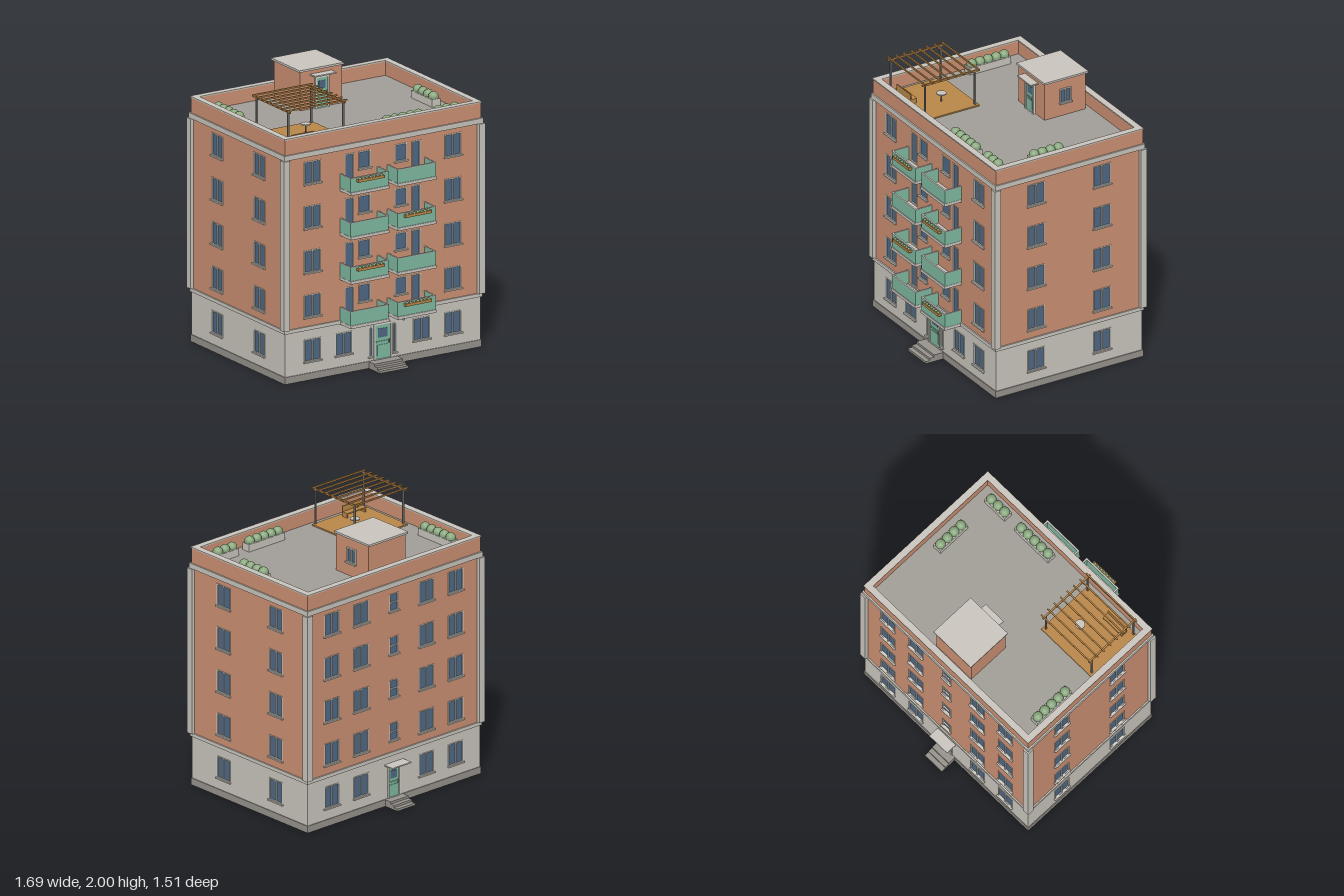
import * as THREE from 'three';

const mat = (name, color) => {
  const m = new THREE.MeshStandardMaterial({ color, side: THREE.DoubleSide });
  m.name = name;
  return m;
};

export function createModel() {
  const M = {
    brick: mat('terracotta wall', 0xcc9073), stone: mat('pale stone', 0xcac6be),
    plinth: mat('dark stone', 0x97938d), roof: mat('roof felt', 0xa19d97),
    green: mat('mint paint', 0x7fb9a1), glass: mat('window glass', 0x4f6985),
    wood: mat('warm wood', 0xb98748), bush: mat('leaf green', 0x8aa87f),
    frame: mat('window frame', 0xd6d3cb), metal: mat('grey metal', 0x85827d),
  };
  const model = new THREE.Group();
  model.name = 'apartmentBuilding';
  const group = (name, parent = model) => {
    const g = new THREE.Group();
    g.name = name;
    parent.add(g);
    return g;
  };
  const add = (parent, name, geo, m, x = 0, y = 0, z = 0) => {
    const mesh = new THREE.Mesh(geo, m);
    mesh.name = name;
    mesh.position.set(x, y, z);
    parent.add(mesh);
    return mesh;
  };
  // Box given by its limits on each axis
  const box = (parent, name, m, x0, x1, y0, y1, z0, z1) =>
    add(parent, name, new THREE.BoxGeometry(x1 - x0, y1 - y0, z1 - z0), m, (x0 + x1) / 2, (y0 + y1) / 2, (z0 + z1) / 2);
  const rect = (x0, x1, y0, y1, Type = THREE.Path) => {
    const p = new Type();
    p.moveTo(x0, y0); p.lineTo(x1, y0); p.lineTo(x1, y1); p.lineTo(x0, y1); p.closePath();
    return p;
  };
  const panel = (x0, x1, y0, y1, depth, holes) => {
    const s = rect(x0, x1, y0, y1, THREE.Shape);
    s.holes = holes;
    return new THREE.ExtrudeGeometry(s, { depth, bevelEnabled: false });
  };

  const HX = 0.82, HZ = 0.605, CZ = -0.02, PITCH = 0.328, FLOORS = [0, 1, 2, 3, 4];
  const top = f => 0.302 + PITCH * f; // head height of the windows on floor f

  // Horizontal band around the whole building, standing out from the walls
  const band = (name, m, y0, y1, out, inset) => {
    const a = HX + out, b = HZ + out, c = HX - inset, d = HZ - inset;
    const g = panel(-a, a, -b, b, y1 - y0, [rect(-c, c, -d, d)]);
    g.rotateX(-Math.PI / 2);
    add(model, name, g, m, 0, y0, CZ);
  };

  // Framed window with panes, sill and recessed glass; local +z is outwards
  const windowUnit = (wall, cx, y0, w, h, cols = 2, rows = 1, sill = true) => {
    const g = group('window', wall), b = 0.008, holes = [];
    g.position.set(cx, y0, 0);
    const pw = (w - b * (cols + 1)) / cols, ph = (h - b * (rows + 1)) / rows;
    for (let i = 0; i < cols; i++) for (let j = 0; j < rows; j++) {
      const x = -w / 2 + b + i * (pw + b), y = b + j * (ph + b);
      holes.push(rect(x, x + pw, y, y + ph));
    }
    add(g, 'windowFrame', panel(-w / 2, w / 2, 0, h, 0.014, holes), M.frame, 0, 0, -0.01);
    add(g, 'windowGlass', new THREE.PlaneGeometry(w - b, h - b), M.glass, 0, h / 2, -0.005);
    if (sill) box(g, 'windowSill', M.stone, -w / 2 - 0.006, w / 2 + 0.006, -0.006, 0.004, -0.005, 0.015);
  };

  // Panelled green door with an upper light
  const door = (wall, y0, w, h) => {
    const g = group('door', wall), f = 0.012, hw = w / 2;
    g.position.y = y0;
    add(g, 'doorFrame', panel(-hw, hw, 0, h, 0.018, [rect(-hw + f, hw - f, 0.002, h - f)]), M.frame, 0, 0, -0.012);
    box(g, 'doorLeaf', M.green, -hw + f, hw - f, 0, h - f, -0.014, -0.002);
    box(g, 'doorLight', M.glass, -hw * 0.5, hw * 0.5, h * 0.6, h * 0.85, -0.003, 0.001);
    box(g, 'doorRail', M.green, -hw * 0.7, hw * 0.7, h * 0.46, h * 0.5, -0.003, 0.004);
    box(g, 'doorPanel', M.green, -hw * 0.6, hw * 0.6, h * 0.1, h * 0.4, -0.003, 0.002);
    box(g, 'doorHandle', M.metal, hw * 0.62, hw * 0.72, h * 0.42, h * 0.52, -0.003, 0.008);
  };

  // Wall pierced by openings: [centre x, bottom, width, height, columns, rows, sill]
  const wall = (name, half, angle, x, z, windows, doors = []) => {
    const g = group(name);
    g.position.set(x, 0, z);
    g.rotation.y = angle;
    const all = [...windows, ...doors];
    for (const [part, m, y0, y1] of [['groundWall', M.stone, 0, 0.385], ['upperWall', M.brick, 0.385, 1.7]]) {
      const holes = all.filter(o => o[1] > y0 && o[1] < y1)
        .map(([cx, b, w, h]) => rect(cx - w / 2, cx + w / 2, b, b + h));
      add(g, part, panel(-half, half, y0, y1, 0.02, holes), m, 0, 0, -0.02);
    }
    windows.forEach(o => windowUnit(g, ...o));
    doors.forEach(o => door(g, o[1], o[2], o[3]));
    return g;
  };
  const std = (cx, f) => [cx, top(f) - 0.168, 0.142, 0.168];

  const front = [], back = [], side = [];
  for (const f of FLOORS) {
    for (const s of [-1, 1]) {
      front.push(std(s * 0.59, f));
      back.push(std(s * 0.59, f), std(s * 0.31, f));
      side.push(std(s * 0.273, f));
      if (f === 0) front.push(std(s * 0.327, 0), [s * 0.1, 0.08, 0.032, 0.22, 1, 1]);
      else front.push([s * 0.152, top(f) - 0.13, 0.1, 0.13, 1, 1], [s * 0.28, top(f) - 0.235, 0.076, 0.235, 1, 1, false]);
    }
    if (f > 0) back.push([0, top(f) - 0.15, 0.085, 0.135, 1, 2]);
  }
  const frontWall = wall('frontWall', HX, 0, 0, CZ + HZ, front, [[0, 0.052, 0.155, 0.265]]);
  const backWall = wall('backWall', HX, Math.PI, 0, CZ - HZ, back, [[0, 0.052, 0.12, 0.235]]);
  wall('leftWall', HZ - 0.02, Math.PI / 2, HX, CZ, side);
  wall('rightWall', HZ - 0.02, -Math.PI / 2, -HX, CZ, side);

  // Plinth, cornices, parapet and corner pilasters
  band('plinth', M.plinth, 0, 0.052, 0.006, 0.012);
  band('lowerCornice', M.stone, 0.37, 0.397, 0.01, 0.01);
  band('upperCornice', M.stone, 1.652, 1.69, 0.015, 0.01);
  band('parapet', M.brick, 1.69, 1.803, 0.004, 0.035);
  band('parapetCap', M.stone, 1.803, 1.812, 0.009, 0.04);
  for (const sx of [-1, 1]) for (const sz of [-1, 1])
    add(model, 'cornerPilaster', new THREE.BoxGeometry(0.052, 1.255, 0.052), M.stone, sx * 0.82, 1.0245, CZ + sz * HZ);
  box(model, 'roofDeck', M.roof, -0.8, 0.8, 1.68, 1.7, CZ - 0.585, CZ + 0.585);

  // Entrance steps, back canopy and wall lamp
  const steps = (parent, half, reach) => {
    for (let i = 0; i < 3; i++)
      box(parent, 'step', M.plinth, -half, half, 0.017 * i, 0.017 * (i + 1), 0, reach - 0.035 * i);
  };
  steps(frontWall, 0.12, 0.15);
  steps(backWall, 0.085, 0.132);
  box(backWall, 'backCanopy', M.stone, -0.09, 0.09, 0.306, 0.315, 0, 0.085);
  const lamp = group('wallLamp', frontWall);
  lamp.position.set(0.165, 0.31, 0);
  box(lamp, 'lampArm', M.metal, -0.003, 0.003, 0.024, 0.03, 0, 0.022);
  add(lamp, 'lampShade', new THREE.CylinderGeometry(0.005, 0.01, 0.02, 10), M.metal, 0, 0.02, 0.018);
  add(lamp, 'lampBulb', new THREE.SphereGeometry(0.006, 8, 6), M.green, 0, 0.006, 0.018);

  // Balconies, with flower boxes on alternate sides
  for (const f of [1, 2, 3, 4]) for (const s of [-1, 1]) {
    const g = group('balcony');
    g.position.set(s * 0.198, top(f) - 0.263, CZ + HZ);
    box(g, 'balconyFloor', M.stone, -0.162, 0.162, 0, 0.022, 0, 0.142);
    box(g, 'balconyFront', M.green, -0.16, 0.16, 0.022, 0.122, 0.127, 0.136);
    box(g, 'balconyFrontCap', M.stone, -0.162, 0.162, 0.122, 0.127, 0.125, 0.138);
    for (const e of [-1, 1]) {
      const c = e * 0.1555;
      box(g, 'balconySide', M.green, c - 0.0045, c + 0.0045, 0.022, 0.122, 0, 0.127);
      box(g, 'balconySideCap', M.stone, c - 0.0065, c + 0.0065, 0.122, 0.127, 0, 0.125);
    }
    if ((f % 2 === 0) === (s < 0)) {
      box(g, 'flowerBox', M.wood, -0.11, 0.11, 0.094, 0.114, 0.137, 0.163);
      for (let i = 0; i < 7; i++)
        add(g, 'flowerBoxPlant', new THREE.SphereGeometry(0.011, 8, 6), M.bush, -0.09 + i * 0.03, 0.116, 0.15);
    }
  }

  // Rooftop stair house
  const house = group('stairHouse');
  box(house, 'stairHouseWalls', M.brick, -0.175, 0.175, 1.7, 1.985, -0.553, -0.215);
  box(house, 'stairHouseRoof', M.stone, -0.187, 0.187, 1.985, 2, -0.571, -0.205);
  box(house, 'stairHouseCanopy', M.stone, -0.09, 0.09, 1.948, 1.957, -0.215, -0.152);
  const houseFront = group('stairHouseDoor', house);
  houseFront.position.z = -0.2;
  door(houseFront, 1.7, 0.115, 0.235);
  const houseSide = group('stairHouseWindow', house);
  houseSide.position.set(0.187, 0, -0.383);
  houseSide.rotation.y = Math.PI / 2;
  windowUnit(houseSide, 0, 1.805, 0.09, 0.11);

  // Pergola over a timber deck with bench and table
  const pergola = group('pergola');
  box(pergola, 'timberDeck', M.wood, -0.755, -0.252, 1.7, 1.71, 0.06, 0.51);
  for (const x of [-0.735, -0.275]) {
    for (const z of [0.085, 0.497])
      box(pergola, 'pergolaPost', M.metal, x - 0.006, x + 0.006, 1.71, 1.97, z - 0.006, z + 0.006);
    box(pergola, 'pergolaBeam', M.wood, x - 0.006, x + 0.006, 1.968, 1.981, 0.053, 0.522);
  }
  for (let i = 0; i < 8; i++) {
    const z = 0.063 + i * 0.0635;
    box(pergola, 'pergolaSlat', M.wood, -0.758, -0.25, 1.981, 1.992, z - 0.005, z + 0.005);
  }
  box(pergola, 'benchSeat', M.wood, -0.695, -0.505, 1.738, 1.748, 0.42, 0.475);
  box(pergola, 'benchBack', M.wood, -0.695, -0.505, 1.748, 1.79, 0.467, 0.475);
  for (const x of [-0.685, -0.515]) box(pergola, 'benchLeg', M.wood, x - 0.006, x + 0.006, 1.71, 1.738, 0.425, 0.47);
  add(pergola, 'tableTop', new THREE.CylinderGeometry(0.036, 0.036, 0.008, 20), M.stone, -0.437, 1.775, 0.262);
  add(pergola, 'tableStem', new THREE.CylinderGeometry(0.006, 0.006, 0.062, 8), M.metal, -0.437, 1.741, 0.262);

  // Planters with rows of round shrubs: [centre x, centre z, shrubs, runs along x]
  for (const [x, z, n, alongX] of [[-0.72, -0.297, 5, 0], [0.685, 0.086, 4, 0], [0.238, 0.477, 5, 1], [0.607, 0.477, 3, 1]]) {
    const g = group('planter');
    g.position.set(x, 1.7, z);
    if (!alongX) g.rotation.y = Math.PI / 2;
    const half = n * 0.034;
    box(g, 'planterBox', M.stone, -half, half, 0, 0.055, -0.035, 0.035);
    for (let i = 0; i < n; i++)
      add(g, 'shrub', new THREE.SphereGeometry(0.037, 14, 10), M.bush, (i - (n - 1) / 2) * 0.067, 0.066, 0);
  }
  return model;
}
